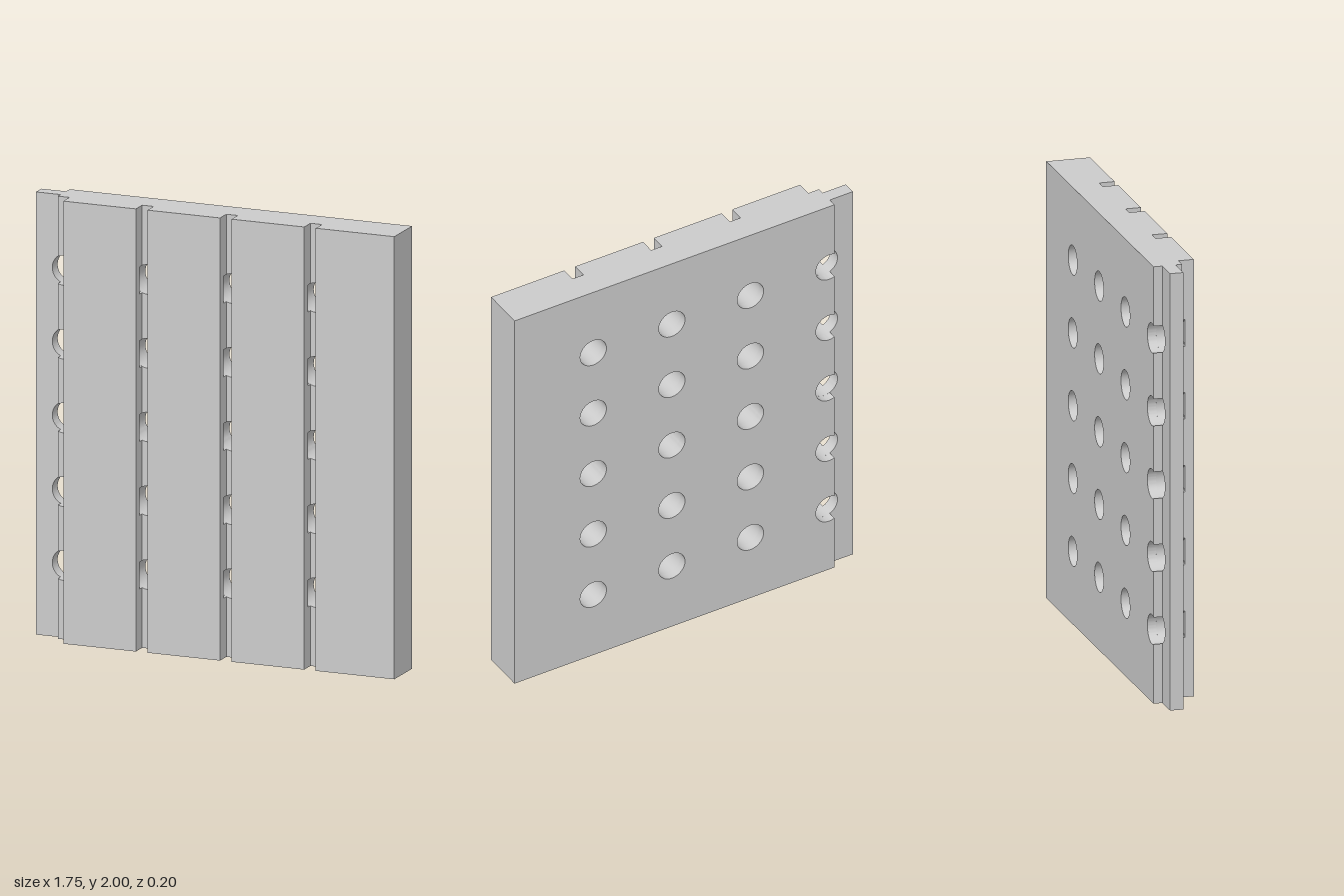
import * as THREE from 'three';
import { toCreasedNormals } from 'three/addons/utils/BufferGeometryUtils.js';

const R = 0.067;                       // hole radius
const HEIGHT = 2;
const HOLE_X = [-0.728, -0.328, 0.072, 0.472];
const HOLE_Y = [1, 2, 3, 4, 5].map(i => i / 3);
const LEFT = -0.873, RIGHT = 0.873, SHOULDER = -0.755;
const SLATS = [[-0.7, -0.355], [-0.3, 0.045], [0.1, 0.445], [0.5, RIGHT]];

// Upright rectangle with round holes; holes crossing a side edge become notches
function drilledShape(x0, x1) {
  const shape = new THREE.Shape();
  const notch = (cx, cy, edge, dir) => {
    const dx = edge - cx, h = Math.sqrt(R * R - dx * dx);
    shape.lineTo(edge, cy - dir * h);
    shape.absarc(cx, cy, R, Math.atan2(-dir * h, dx), Math.atan2(dir * h, dx), true);
  };
  const crossing = edge => HOLE_X.find(cx => Math.abs(cx - edge) < R);

  shape.moveTo(x0, 0);
  shape.lineTo(x1, 0);
  const cr = crossing(x1);
  if (cr !== undefined) for (const y of HOLE_Y) notch(cr, y, x1, 1);
  shape.lineTo(x1, HEIGHT);
  shape.lineTo(x0, HEIGHT);
  const cl = crossing(x0);
  if (cl !== undefined) for (const y of [...HOLE_Y].reverse()) notch(cl, y, x0, -1);
  shape.lineTo(x0, 0);

  for (const cx of HOLE_X) {
    if (cx - R <= x0 || cx + R >= x1) continue;
    for (const cy of HOLE_Y) {
      shape.holes.push(new THREE.Path().absarc(cx, cy, R, 0, Math.PI * 2, true));
    }
  }
  return shape;
}

export function createModel() {
  const group = new THREE.Group();
  const material = new THREE.MeshStandardMaterial({ color: 0xcccccc });

  const add = (name, geometry) => {
    const mesh = new THREE.Mesh(geometry, material);
    mesh.name = name;
    group.add(mesh);
    return mesh;
  };
  const layer = (name, x0, x1, z0, z1) => {
    const geometry = new THREE.ExtrudeGeometry(drilledShape(x0, x1), {
      depth: z1 - z0, bevelEnabled: false, curveSegments: 20
    });
    geometry.translate(0, 0, z0);
    add(name, toCreasedNormals(geometry, 0.6));
  };

  // Drilled board; the middle layer sticks out as the joining tongue
  layer('backLayer', SHOULDER, RIGHT, -0.1, -0.06);
  layer('tongueLayer', LEFT, RIGHT, -0.06, 0);
  layer('grooveFloorLayer', SHOULDER, RIGHT, 0, 0.03);

  // Front slats: the blind holes bite into their rear part, the face stays plain
  SLATS.forEach(([x0, x1], i) => {
    layer(`slatRear${i + 1}`, x0, x1, 0.03, 0.06);
    add(`slatFace${i + 1}`, new THREE.BoxGeometry(x1 - x0, HEIGHT, 0.04))
      .position.set((x0 + x1) / 2, HEIGHT / 2, 0.08);
  });
  return group;
}
